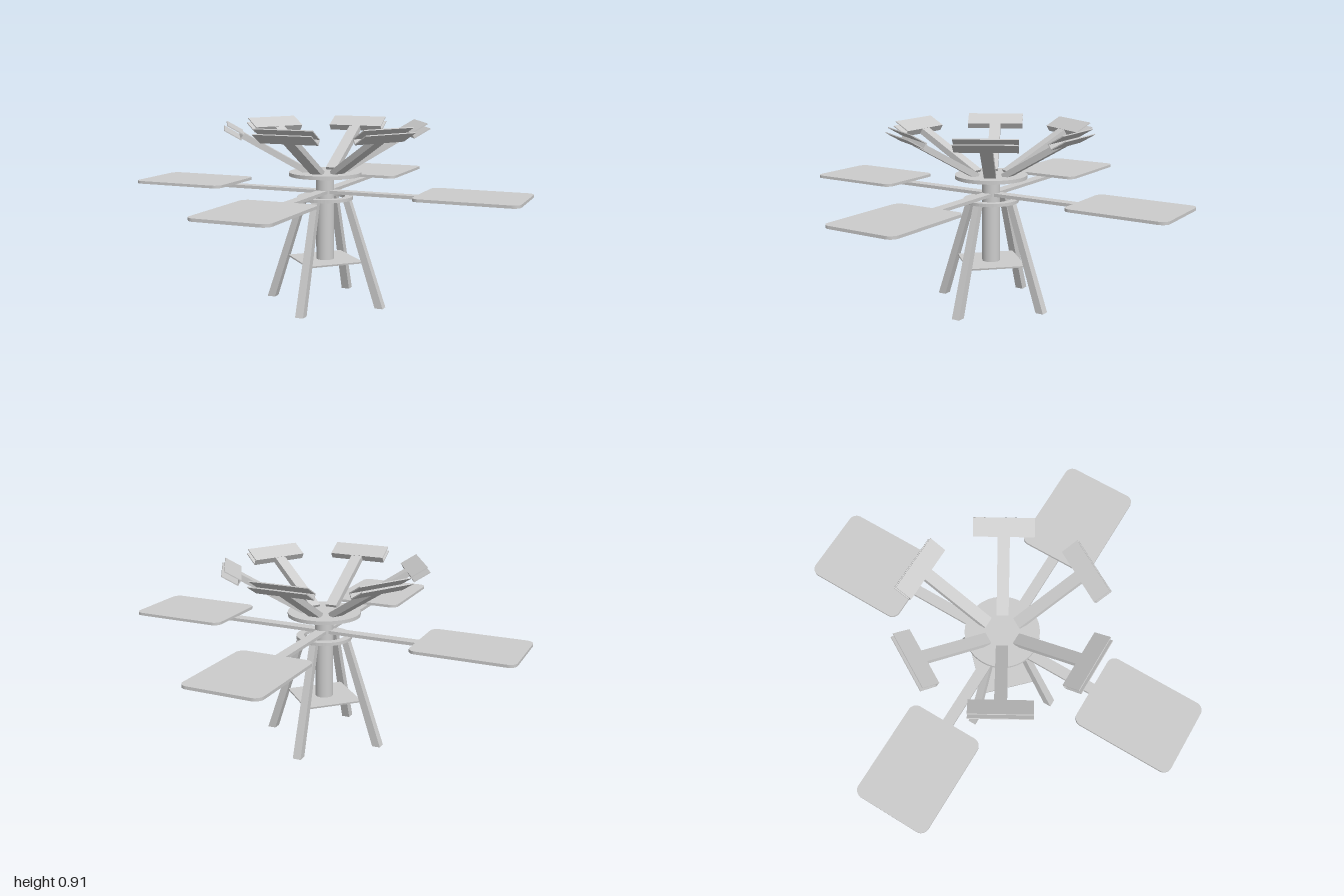
import * as THREE from 'three';

export function createModel() {
  const model = new THREE.Group();
  const mat = new THREE.MeshStandardMaterial({ color: 0xcccccc, side: THREE.DoubleSide });

  const add = (parent, name, geo, x = 0, y = 0, z = 0) => {
    const mesh = new THREE.Mesh(geo, mat);
    mesh.name = name;
    mesh.position.set(x, y, z);
    parent.add(mesh);
    return mesh;
  };
  const box = (w, h, d) => new THREE.BoxGeometry(w, h, d);

  // A group pointing along +z, turned about the centre post
  const spoke = (name, angle) => {
    const g = new THREE.Group();
    g.name = name;
    g.rotation.y = angle;
    model.add(g);
    return g;
  };

  // Flat shape laid horizontally with its underside at y = 0
  const slab = (shape, h) => {
    const geo = new THREE.ExtrudeGeometry(shape, { depth: h, bevelEnabled: false, curveSegments: 24 });
    return geo.rotateX(-Math.PI / 2);
  };

  // Rounded seat board
  const w = 0.19, l = 0.25, r = 0.04;
  const board = new THREE.Shape();
  board.moveTo(-w + r, -l);
  board.lineTo(w - r, -l);
  board.absarc(w - r, -l + r, r, -Math.PI / 2, 0);
  board.absarc(w - r, l - r, r, 0, Math.PI / 2);
  board.absarc(-w + r, l - r, r, Math.PI / 2, Math.PI);
  board.absarc(-w + r, -l + r, r, Math.PI, Math.PI * 1.5);
  const seatGeo = slab(board, 0.014);

  // Central post, upper disc and the ring that holds the legs
  add(model, 'centrePost', new THREE.CylinderGeometry(0.045, 0.045, 0.43, 32), 0, 0.437, 0);
  add(model, 'upperDisc', new THREE.CylinderGeometry(0.18, 0.18, 0.018, 48), 0, 0.657, 0);
  const ring = new THREE.Shape().absarc(0, 0, 0.138, 0, Math.PI * 2);
  ring.holes.push(new THREE.Path().absarc(0, 0, 0.1, 0, Math.PI * 2, true));
  add(model, 'legRing', slab(ring, 0.016), 0, 0.529, 0);

  // Square shelf with its corners toward the legs
  add(model, 'lowerShelf', new THREE.CylinderGeometry(0.205, 0.205, 0.008, 4), 0, 0.222, 0);

  // Splayed leg: sheared, slightly tapering bar with level ends
  const legGeo = box(1, 0.535, 1);
  const p = legGeo.attributes.position;
  for (let i = 0; i < p.count; i++) {
    const t = p.getY(i) / 0.535 + 0.5;
    const size = THREE.MathUtils.lerp(0.042, 0.034, t);
    p.setXYZ(i, p.getX(i) * size, t * 0.535, p.getZ(i) * size + THREE.MathUtils.lerp(0.296, 0.117, t));
  }
  legGeo.computeVertexNormals();

  // Four legs, seat beams and seats
  for (let i = 0; i < 4; i++) {
    const g = spoke('seatUnit', i * Math.PI / 2);
    add(g, 'leg', legGeo);
    add(g, 'seatBeam', box(0.054, 0.016, 0.85), 0, 0.568, 0.425);
    add(g, 'seat', seatGeo, 0, 0.576, 0.75);
  }

  // Six raised arms, each ending in an outward-opening channel
  for (let i = 0; i < 6; i++) {
    const g = spoke('raisedUnit', i * Math.PI / 3);
    const arm = new THREE.Group();
    arm.name = 'raisedArm';
    arm.position.set(0, 0.668, 0.07);
    arm.rotation.x = -Math.PI / 6;
    g.add(arm);
    add(arm, 'armBar', box(0.058, 0.03, 0.375), 0, -0.009, 0.198);
    add(arm, 'channelTop', box(0.292, 0.005, 0.09), 0, 0.0045, 0.43);
    add(arm, 'channelBottom', box(0.292, 0.005, 0.09), 0, -0.0225, 0.43);
    add(arm, 'channelBack', box(0.292, 0.022, 0.005), 0, -0.009, 0.3875);
  }

  return model;
}
